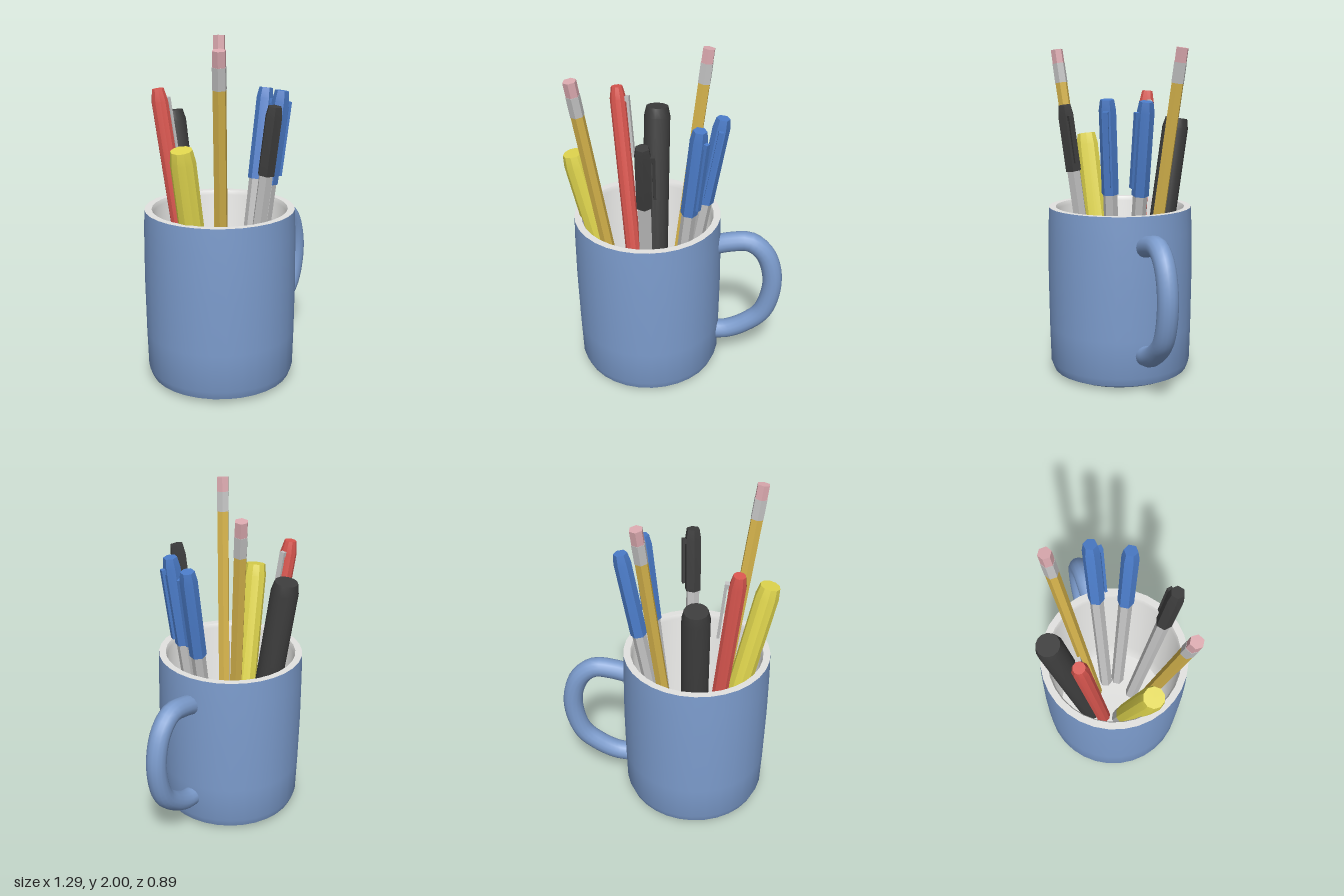
import * as THREE from 'three';
import { toCreasedNormals } from 'three/addons/utils/BufferGeometryUtils.js';

const makeMaterial = (name, color) => {
  const m = new THREE.MeshStandardMaterial({ color });
  m.name = name;
  return m;
};

export function createModel() {
  const mats = {
    mug: makeMaterial('mug blue', 0x7c9ccd),
    glaze: makeMaterial('white glaze', 0xe2e2e0),
    wood: makeMaterial('pencil yellow', 0xd6b44c),
    eraser: makeMaterial('eraser pink', 0xdcaab0),
    silver: makeMaterial('silver', 0xc2c2c2),
    red: makeMaterial('pen red', 0xd9564f),
    blue: makeMaterial('pen blue', 0x4b7cc9),
    black: makeMaterial('black', 0x3d3d3d),
    yellow: makeMaterial('highlighter yellow', 0xe0d64e),
  };
  const model = new THREE.Group();
  model.name = 'mugOfPens';

  const addMesh = (parent, name, geometry, material) => {
    const mesh = new THREE.Mesh(geometry, material);
    mesh.name = name;
    parent.add(mesh);
    return mesh;
  };
  // Turned shape from [radius, height] pairs, with sharp edges kept
  const turned = (points, sides) =>
    toCreasedNormals(new THREE.LatheGeometry(points.map(([r, y]) => new THREE.Vector2(r, y)), sides), 0.6);

  // Mug: blue outside, glazed rim and inside
  const mug = new THREE.Group();
  mug.name = 'mug';
  mug.position.x = -0.18;
  model.add(mug);
  addMesh(mug, 'mugOutside', turned(
    [[0, 0], [0.36, 0], [0.415, 0.025], [0.434, 0.075], [0.44, 0.3], [0.444, 0.62], [0.441, 0.9], [0.436, 1.04]], 32), mats.mug);
  addMesh(mug, 'mugInside', turned(
    [[0.436, 1.04], [0.395, 1.04], [0.385, 1.015], [0.385, 0.15], [0.35, 0.07], [0, 0.05]], 32), mats.glaze);

  // Handle
  const path = new THREE.CatmullRomCurve3([
    [0.235, 0.855], [0.32, 0.88], [0.44, 0.89], [0.535, 0.81], [0.585, 0.62],
    [0.535, 0.39], [0.43, 0.285], [0.32, 0.225], [0.235, 0.21],
  ].map(([x, y]) => new THREE.Vector3(x, y, 0)));
  addMesh(model, 'handle', new THREE.TubeGeometry(path, 32, 0.06, 14), mats.mug);

  // Leaning item: local y runs from base to tip, local x faces the given direction
  const leaning = (name, base, tip, facing = [1, 0, 0]) => {
    const item = new THREE.Group();
    item.name = name;
    const from = new THREE.Vector3(...base);
    const y = new THREE.Vector3(...tip).sub(from);
    const length = y.length();
    y.normalize();
    const x = new THREE.Vector3(...facing);
    x.addScaledVector(y, -x.dot(y)).normalize();
    const z = new THREE.Vector3().crossVectors(x, y);
    item.quaternion.setFromRotationMatrix(new THREE.Matrix4().makeBasis(x, y, z));
    item.position.copy(from);
    model.add(item);
    return { item, length };
  };
  // Straight section with an optional bevelled top
  const section = (item, name, r, y0, y1, sides, material, topR = r, bevel = 0) => {
    const points = [[0, y0], [r, y0]];
    if (bevel) points.push([r, y1 - bevel]);
    points.push([topR, y1], [0, y1]);
    addMesh(item, name, turned(points, sides), material);
  };
  // Clip with a bridge joining it to the cap
  const clip = (item, r, y0, y1, material) => {
    addMesh(item, 'clip', new THREE.BoxGeometry(0.016, y1 - y0, 0.03), material)
      .position.set(r + 0.016, (y0 + y1) / 2, 0);
    addMesh(item, 'clipBridge', new THREE.BoxGeometry(0.03, 0.03, 0.03), material)
      .position.set(r + 0.002, y1 - 0.015, 0);
  };

  // Pencils
  [
    ['leftPencil', [-0.28, 0.07, 0.1], [-0.525, 1.985, 0.292]],
    ['rightPencil', [-0.08, 0.07, -0.085], [0.142, 1.99, -0.268]],
  ].forEach(([name, base, tip]) => {
    const { item, length: n } = leaning(name, base, tip);
    section(item, 'pencilBody', 0.038, 0, n - 0.205, 6, mats.wood);
    section(item, 'ferrule', 0.04, n - 0.205, n - 0.085, 6, mats.silver);
    section(item, 'eraser', 0.038, n - 0.085, n, 6, mats.eraser);
  });

  // Capped pens
  [
    ['bluePenRight', [-0.025, 0.07, 0.0], [0.257, 1.69, 0.0], [0.1, 0, 1], 0.55, mats.blue],
    ['bluePenFront', [-0.035, 0.07, 0.08], [0.15, 1.7, 0.195], [0.85, 0, 0.5], 0.55, mats.blue],
    ['blackPen', [-0.16, 0.07, 0.14], [-0.137, 1.66, 0.36], [1, 0, -0.2], 0.39, mats.black],
  ].forEach(([name, base, tip, facing, capLength, material]) => {
    const { item, length: n } = leaning(name, base, tip, facing);
    section(item, 'penBarrel', 0.042, 0, n - capLength, 6, mats.silver);
    section(item, 'penCap', 0.05, n - capLength, n, 6, material, 0.04, 0.06);
    clip(item, 0.043, n - capLength + 0.05, n - 0.06, material);
  });

  // Red click pen
  const red = leaning('redPen', [-0.255, 0.07, -0.095], [-0.397, 1.73, -0.265], [1, 0, 0.1]);
  section(red.item, 'penBody', 0.048, 0, red.length, 10, mats.red, 0.034, 0.07);
  clip(red.item, 0.046, red.length - 0.44, red.length - 0.06, mats.silver);

  // Thick black marker
  const marker = leaning('blackMarker', [-0.178, 0.07, -0.155], [-0.176, 1.57, -0.372]);
  section(marker.item, 'markerBody', 0.08, 0, marker.length, 14, mats.black, 0.067, 0.06);

  // Highlighter with a pale lower grip
  const lighter = leaning('highlighter', [-0.305, 0.07, 0.02], [-0.59, 1.455, 0.083]);
  section(lighter.item, 'highlighterGrip', 0.066, 0, 0.28, 10, mats.silver);
  section(lighter.item, 'highlighterBody', 0.071, 0.28, lighter.length, 10, mats.yellow, 0.06, 0.07);

  return model;
}
